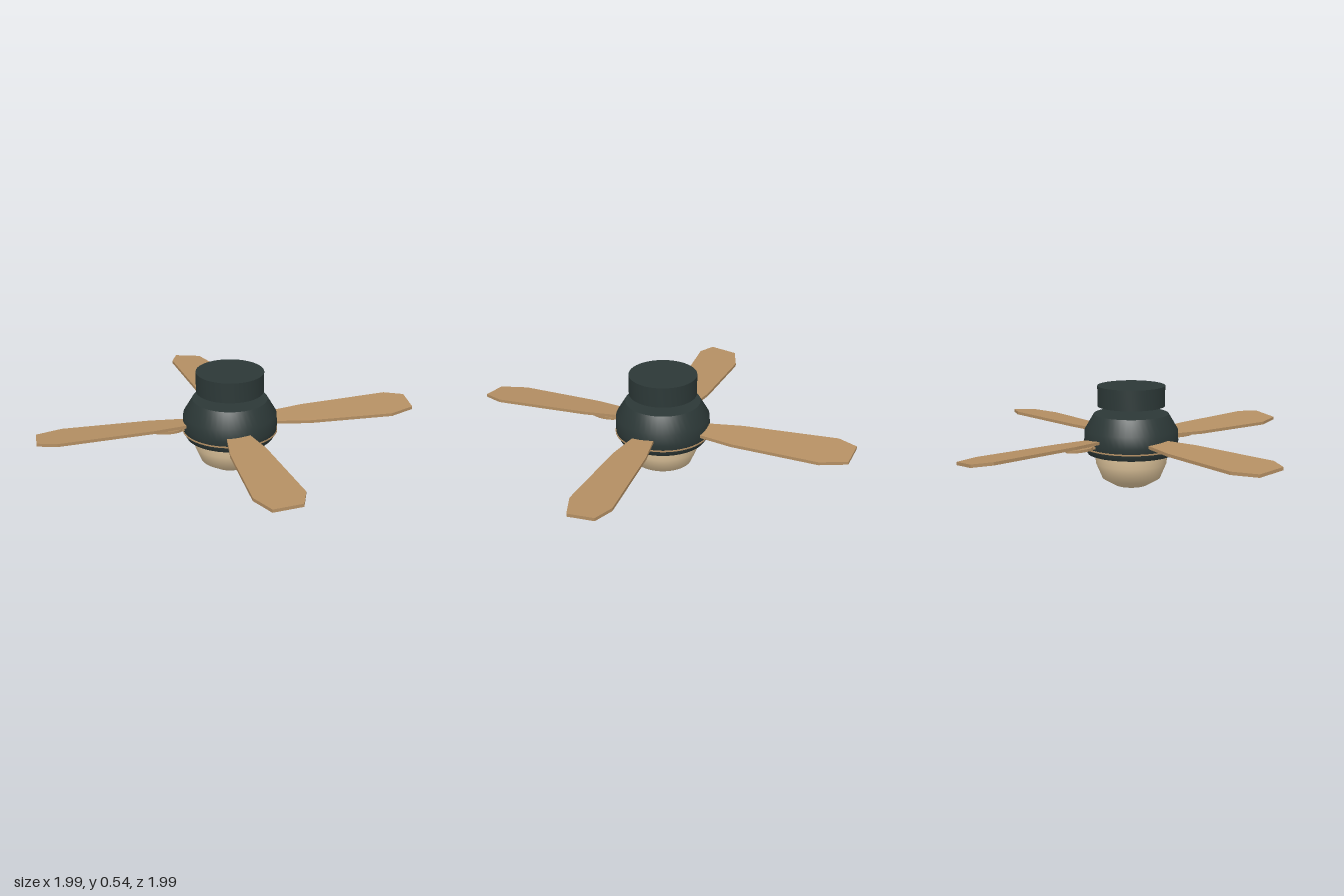
import * as THREE from 'three';
import { toCreasedNormals } from 'three/addons/utils/BufferGeometryUtils.js';

const metal = new THREE.MeshStandardMaterial({ color: 0x2c3837 });
metal.name = 'darkMetal';
const wood = new THREE.MeshStandardMaterial({ color: 0xb48f63 });
wood.name = 'wood';
const glass = new THREE.MeshStandardMaterial({ color: 0xdec49b });
glass.name = 'warmGlass';

function part(name, geometry, material) {
  const mesh = new THREE.Mesh(geometry, material);
  mesh.name = name;
  return mesh;
}

// Turned part; profile runs from bottom to top as [radius, y]
function turned(name, profile, material) {
  const geo = new THREE.LatheGeometry(profile.map(([r, y]) => new THREE.Vector2(r, y)), 48);
  return part(name, toCreasedNormals(geo, 0.75), material);
}

// Flat plate drawn in x/z, with its underside at y
function plate(shape, y, thickness) {
  const geo = new THREE.ExtrudeGeometry(shape, { depth: thickness, bevelEnabled: false, curveSegments: 10 });
  geo.rotateX(-Math.PI / 2); // shape y becomes -z
  return geo.translate(0, y, 0);
}

function createBlade() {
  // Outline along +x, second value is -z
  const outline = [[0.15, -0.04], [0.42, -0.045], [0.87, 0.005], [0.997, 0.075],
    [0.985, 0.218], [0.88, 0.245], [0.4, 0.135], [0.24, 0.08], [0.15, 0.05]];
  const geo = plate(new THREE.Shape(outline.map(([x, y]) => new THREE.Vector2(x, y))), 0.256, 0.016);
  // Pitch the blade about its slanted long axis
  const p = geo.attributes.position;
  for (let i = 0; i < p.count; i++) {
    const axisZ = -0.045 - 0.167 * (p.getX(i) - 0.4);
    p.setY(i, p.getY(i) - 0.1 * (p.getZ(i) - axisZ));
  }
  geo.computeVertexNormals();
  return part('blade', geo, wood);
}

function createBracket() {
  const bracket = new THREE.Group();
  bracket.name = 'bladeBracket';
  // Rounded pad under the blade root
  const pad = new THREE.Shape().absellipse(0.325, 0.035, 0.08, 0.042, 0, Math.PI * 2, false, 0.12);
  bracket.add(part('bracketPad', plate(pad, 0.233, 0.014), wood));
  const arm = new THREE.BoxGeometry(0.16, 0.014, 0.045).translate(0.25, 0.241, -0.025);
  bracket.add(part('bracketArm', arm, wood));
  return bracket;
}

export function createModel() {
  const fan = new THREE.Group();
  fan.name = 'ceilingFan';

  // Ceiling canopy
  fan.add(turned('canopy', [[0, 0.432], [0.176, 0.432], [0.176, 0.538], [0, 0.538]], metal));

  // Motor housing
  fan.add(turned('motorHousing', [[0, 0.185], [0.228, 0.185], [0.244, 0.212], [0.246, 0.25],
    [0.243, 0.31], [0.195, 0.391], [0, 0.391]], metal));

  // Thin trim band round the housing
  fan.add(turned('trimRing', [[0.24, 0.217], [0.248, 0.217], [0.248, 0.224], [0.24, 0.224]], wood));

  // Glass light bowl
  fan.add(turned('lightBowl', [[0, 0.002], [0.085, 0.013], [0.152, 0.052], [0.186, 0.132],
    [0.188, 0.188]], glass));

  // Four blades with their brackets
  for (let i = 0; i < 4; i++) {
    const arm = new THREE.Group();
    arm.name = 'bladeArm' + (i + 1);
    arm.add(createBlade(), createBracket());
    arm.rotation.y = i * Math.PI / 2;
    fan.add(arm);
  }
  return fan;
}
